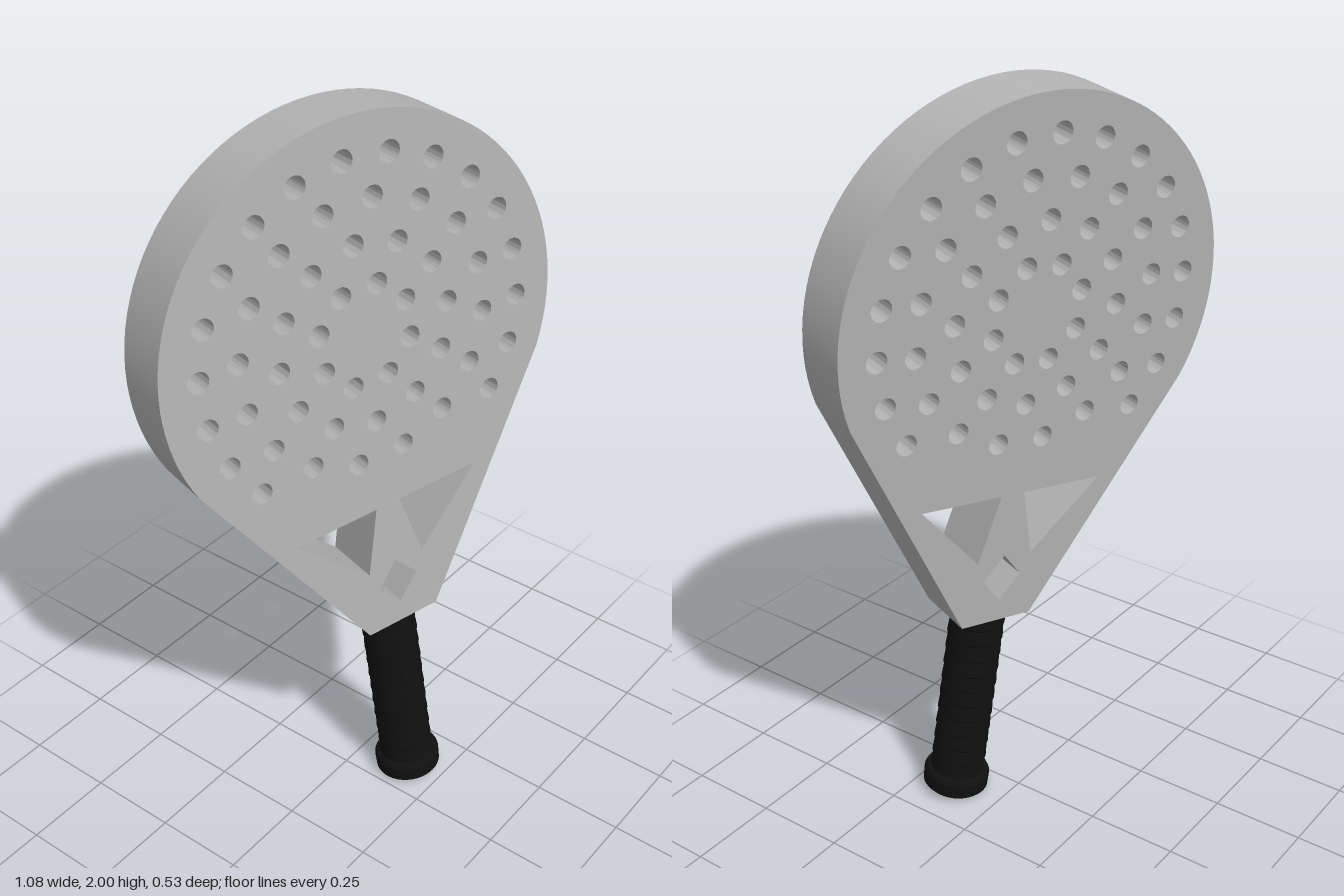
import * as THREE from 'three';
import { toCreasedNormals } from 'three/addons/utils/BufferGeometryUtils.js';

const V2 = (x, y) => new THREE.Vector2(x, y);
const THICKNESS = 0.165;
const HEAD_RADIUS = 0.546;

function polygon(points) {
  return new THREE.Path(points.map(([x, y]) => V2(x, y)));
}

// Flat head and throat in one piece, pierced by round holes and throat openings
function headGeometry() {
  const shoulder = -0.435; // angle where the round head meets the straight throat
  const shape = new THREE.Shape();
  shape.moveTo(-0.106, -0.866);
  shape.lineTo(0.106, -0.866);
  shape.absarc(0, 0, HEAD_RADIUS, shoulder, Math.PI - shoulder, false);
  shape.closePath();

  // Rings of holes: [radius, full count, drilled count, angle offset in steps]
  const rings = [
    [0.132, 8, 8, 0.5],
    [0.238, 12, 12, 0],
    [0.344, 16, 16, 0.5],
    [0.446, 22, 17, 0],
  ];
  for (const [radius, count, drilled, offset] of rings) {
    for (let i = 0; i < drilled; i++) {
      const k = i - Math.floor(drilled / 2) + offset;
      const a = Math.PI / 2 + (k * Math.PI * 2) / count;
      const hole = new THREE.Path();
      hole.absarc(radius * Math.cos(a), radius * Math.sin(a), 0.028, 0, Math.PI * 2, true);
      shape.holes.push(hole);
    }
  }

  // Mirrored triangles and a small diamond in the throat
  for (const s of [-1, 1]) {
    shape.holes.push(polygon([[s * 0.035, -0.49], [s * 0.272, -0.49], [s * 0.082, -0.677]]));
  }
  shape.holes.push(polygon([[0, -0.669], [0.058, -0.736], [0, -0.803], [-0.058, -0.736]]));

  const geometry = new THREE.ExtrudeGeometry(shape, {
    depth: THICKNESS, bevelEnabled: false, curveSegments: 32,
  });
  geometry.translate(0, 0, -THICKNESS / 2);
  return toCreasedNormals(geometry, 0.45);
}

// Grip with shallow overlapping wraps
function gripGeometry() {
  const bottom = -1.4, top = -0.86, wraps = 11;
  const step = (top - bottom) / wraps;
  const profile = [V2(0, bottom)];
  for (let i = 0; i < wraps; i++) {
    const y = bottom + i * step;
    profile.push(V2(0.071, y), V2(0.075, y + step * 0.12), V2(0.072, y + step * 0.98));
  }
  profile.push(V2(0, top));
  return toCreasedNormals(new THREE.LatheGeometry(profile, 40), 0.5);
}

// Flared cap at the end of the grip
function buttGeometry() {
  const profile = [
    V2(0, -1.45), V2(0.082, -1.45), V2(0.09, -1.442),
    V2(0.091, -1.405), V2(0.085, -1.394), V2(0.07, -1.388), V2(0, -1.388),
  ];
  return toCreasedNormals(new THREE.LatheGeometry(profile, 40), 0.5);
}

export function createModel() {
  const frameGrey = new THREE.MeshStandardMaterial({ color: 0xb4b4b4 });
  frameGrey.name = 'frame grey';
  const gripBlack = new THREE.MeshStandardMaterial({ color: 0x101010 });
  gripBlack.name = 'grip black';

  const racket = new THREE.Group();
  racket.name = 'racket';
  const add = (name, geometry, material) => {
    const mesh = new THREE.Mesh(geometry, material);
    mesh.name = name;
    racket.add(mesh);
  };
  add('head', headGeometry(), frameGrey);
  add('grip', gripGeometry(), gripBlack);
  add('buttCap', buttGeometry(), gripBlack);

  // Tilt: the long axis leans back and aside, and the face turns towards -x
  const up = new THREE.Vector3(-0.072, 0.9924, -0.1).normalize();
  const side = up.clone().cross(new THREE.Vector3(-0.3335, 0.0705, 0.94)).normalize();
  const face = side.clone().cross(up);
  racket.quaternion.setFromRotationMatrix(new THREE.Matrix4().makeBasis(side, up, face));
  racket.position.set(0, 1.45, 0);

  const model = new THREE.Group();
  model.name = 'padelRacket';
  model.add(racket);
  return model;
}
